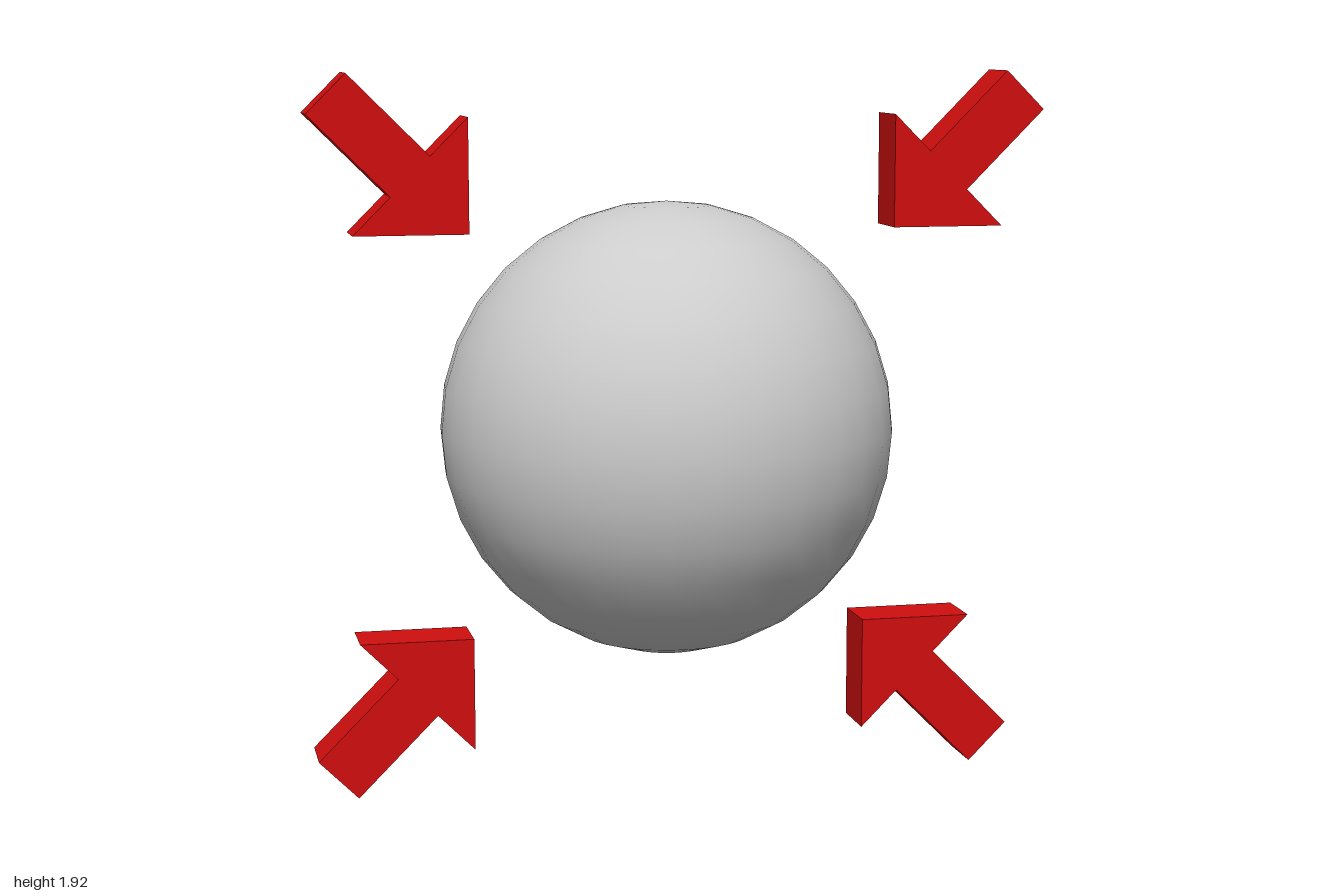
import * as THREE from 'three';

export function createModel() {
  const group = new THREE.Group();
  const grey = new THREE.MeshStandardMaterial({ color: 0xcccccc });
  grey.name = 'light grey';
  const red = new THREE.MeshStandardMaterial({ color: 0xd00e0e });
  red.name = 'red';

  // Central ball
  const ball = new THREE.Mesh(new THREE.SphereGeometry(0.613, 32, 16), grey);
  ball.name = 'ball';
  ball.position.set(-0.037, 0.968, 0);
  group.add(ball);

  // Diagonal arrow outline with its tip at the origin, pointing to +x +y
  const outline = [
    [0, 0], [-0.305, 0], [-0.205, -0.1], [-0.42, -0.315],
    [-0.315, -0.42], [-0.1, -0.205], [0, -0.305],
  ];
  const depth = 0.154;

  function addArrow(name, x, y, flipX, flipY) {
    const shape = new THREE.Shape(
      outline.map(([px, py]) => new THREE.Vector2(px * flipX, py * flipY)));
    const geometry = new THREE.ExtrudeGeometry(shape, { depth, bevelEnabled: false });
    geometry.translate(0, 0, -depth / 2);
    const arrow = new THREE.Mesh(geometry, red);
    arrow.name = name;
    arrow.position.set(x, y, 0);
    group.add(arrow);
  }

  // Four arrows pointing inward at the ball
  addArrow('upperRightArrow', -0.58, 1.505, 1, -1);
  addArrow('lowerRightArrow', -0.58, 0.422, 1, 1);
  addArrow('upperLeftArrow', 0.578, 1.505, -1, -1);
  addArrow('lowerLeftArrow', 0.5, 0.422, -1, 1);

  return group;
}
